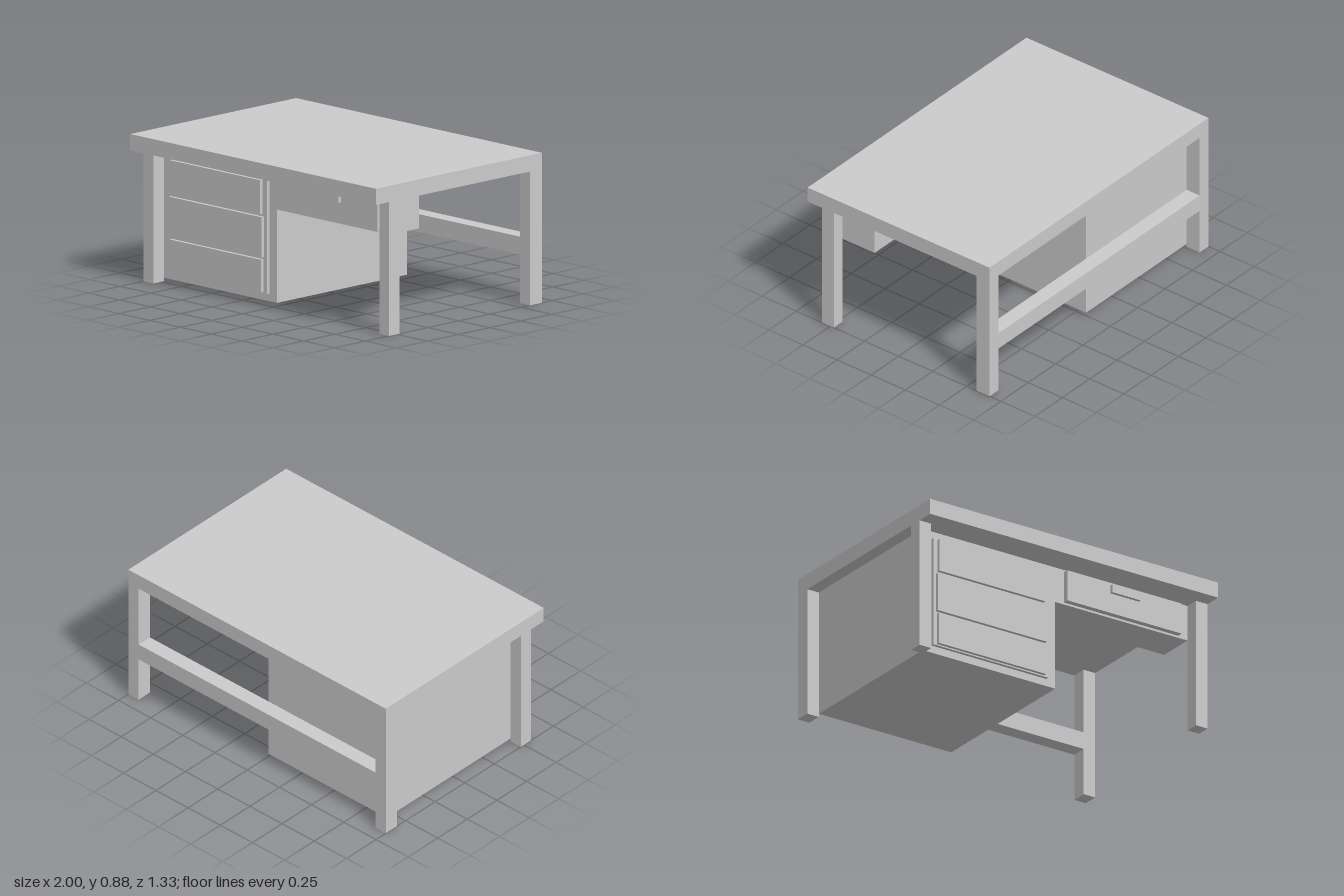
import * as THREE from 'three';

export function createModel() {
  const desk = new THREE.Group();
  desk.name = 'desk';
  const material = new THREE.MeshStandardMaterial({ color: 0xcccccc, flatShading: true });

  // Box given by its lower and upper limits on each axis
  function box(name, [x0, x1], [y0, y1], [z0, z1], parent = desk) {
    const mesh = new THREE.Mesh(new THREE.BoxGeometry(x1 - x0, y1 - y0, z1 - z0), material);
    mesh.position.set((x0 + x1) / 2, (y0 + y1) / 2, (z0 + z1) / 2);
    mesh.name = name;
    parent.add(mesh);
    return mesh;
  }

  const under = 0.785; // underside of the top
  const frontFace = 0.475; // front of cabinet and drawer case
  const backLeg = [-0.667, -0.572];

  box('tabletop', [-1, 1], [under, 0.88], [-0.667, 0.667]);

  // Four square legs
  for (const [side, x] of [['right', [-1, -0.92]], ['left', [0.92, 1]]]) {
    box(side + 'FrontLeg', x, [0, under], [frontFace, 0.56]);
    box(side + 'BackLeg', x, [0, under], backLeg);
  }

  // Stretcher between the back legs
  box('backRail', [-0.92, 0.92], [0.285, 0.39], backLeg);

  // Cabinet with a raised panel and three drawer fronts
  const cabinet = new THREE.Group();
  cabinet.name = 'drawerCabinet';
  desk.add(cabinet);
  box('cabinetBody', [-0.92, 0], [0.02, under], [-0.572, frontFace], cabinet);
  box('cabinetFrontPanel', [-0.86, -0.06], [0.065, 0.735], [frontFace, 0.495], cabinet);
  const fronts = [
    ['topDrawer', [-0.83, -0.095], [0.53, 0.73]],
    ['middleDrawer', [-0.84, -0.085], [0.278, 0.515]],
    ['bottomDrawer', [-0.835, -0.09], [0.073, 0.265]],
  ];
  for (const [name, x, y] of fronts) box(name, x, y, [0.495, 0.515], cabinet);

  // Shallow drawer over the knee space
  const kneeDrawer = new THREE.Group();
  kneeDrawer.name = 'kneeDrawer';
  desk.add(kneeDrawer);
  box('kneeDrawerCase', [0, 0.92], [0.567, under], [0.24, frontFace], kneeDrawer);
  box('kneeDrawerFront', [0.06, 0.855], [0.58, 0.77], [frontFace, 0.51], kneeDrawer);
  box('kneeDrawerHandle', [0.36, 0.557], [0.703, 0.752], [0.51, 0.53], kneeDrawer);

  return desk;
}
